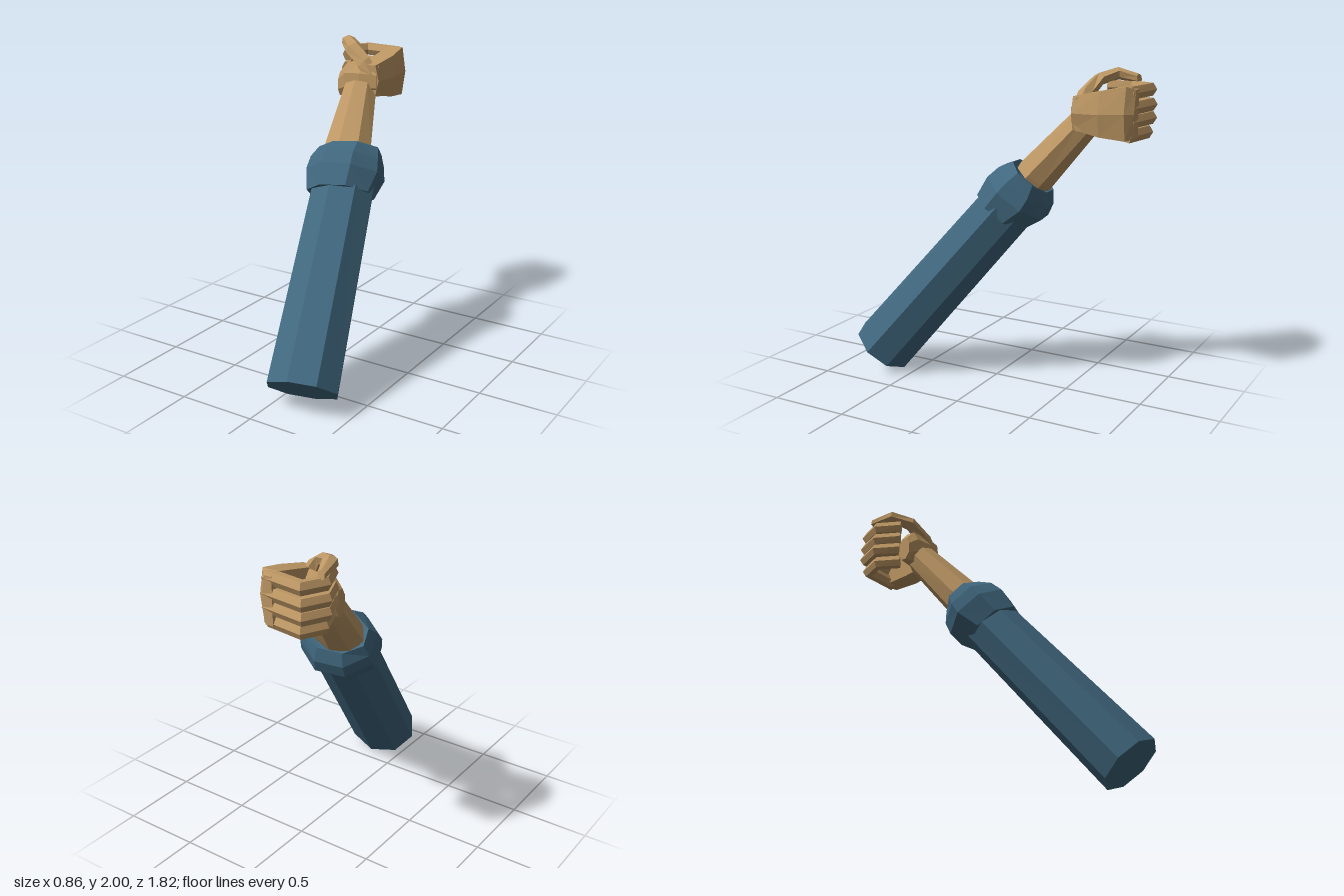
import * as THREE from 'three';

const sleeveBlue = new THREE.MeshStandardMaterial({ color: 0x41687f });
const skinTan = new THREE.MeshStandardMaterial({ color: 0xbd9764 });

// Elliptical ring: centre c, half axes a and b, n corners, starting at angle phase
function ring(c, a, b, n = 8, phase = 0) {
  return Array.from({ length: n }, (_, i) => {
    const t = phase + (i / n) * Math.PI * 2;
    return c.map((v, k) => v + a[k] * Math.cos(t) + b[k] * Math.sin(t));
  });
}

// Closed, faceted skin over a row of rings that share one corner count
function loft(name, rings, material) {
  const n = rings[0].length;
  const tris = [];
  for (let r = 0; r < rings.length - 1; r++) {
    for (let i = 0; i < n; i++) {
      const j = (i + 1) % n;
      const [a, b, c, d] = [rings[r][i], rings[r][j], rings[r + 1][j], rings[r + 1][i]];
      tris.push([a, b, c], [a, c, d]);
    }
  }
  const mid = (pts) => [0, 1, 2].map((k) => pts.reduce((s, p) => s + p[k], 0) / n);
  const first = rings[0], last = rings[rings.length - 1];
  const m0 = mid(first), m1 = mid(last);
  for (let i = 0; i < n; i++) {
    const j = (i + 1) % n;
    tris.push([m0, first[j], first[i]], [m1, last[i], last[j]]);
  }
  // Turn every face outward using the signed volume
  const volume = tris.reduce((s, [a, b, c]) => s
    + (a[0] - m0[0]) * ((b[1] - m0[1]) * (c[2] - m0[2]) - (b[2] - m0[2]) * (c[1] - m0[1]))
    + (a[1] - m0[1]) * ((b[2] - m0[2]) * (c[0] - m0[0]) - (b[0] - m0[0]) * (c[2] - m0[2]))
    + (a[2] - m0[2]) * ((b[0] - m0[0]) * (c[1] - m0[1]) - (b[1] - m0[1]) * (c[0] - m0[0])), 0);
  if (volume < 0) tris.forEach((t) => t.reverse());
  const geometry = new THREE.BufferGeometry();
  geometry.setAttribute('position', new THREE.Float32BufferAttribute(tris.flat(2), 3));
  geometry.computeVertexNormals();
  const mesh = new THREE.Mesh(geometry, material);
  mesh.name = name;
  return mesh;
}

export function createModel() {
  const model = new THREE.Group();
  model.name = 'raisedForearm';

  // Long tapering sleeve
  model.add(loft('sleeve', [
    ring([0.2, 0.132, 0.75], [0.23, 0.03, -0.027], [0, 0.128, 0.156]),
    ring([-0.043, 1.2, -0.12], [0.208, 0.027, -0.024], [0, 0.114, 0.139]),
  ], sleeveBlue));

  // Flared cuff with a rim that turns inward
  model.add(loft('cuff', [
    ring([-0.025, 1.1, -0.025], [0.215, 0.03, -0.03], [0, 0.11, 0.155], 8, 0.25),
    ring([-0.05, 1.2, -0.125], [0.252, 0.03, -0.03], [0, 0.133, 0.19], 8, 0.25),
    ring([-0.065, 1.27, -0.175], [0.24, 0.03, -0.03], [0, 0.125, 0.17], 8, 0.25),
    ring([-0.072, 1.335, -0.22], [0.212, 0.03, -0.03], [0, 0.095, 0.118], 8, 0.25),
    ring([-0.075, 1.32, -0.215], [0.17, 0.025, -0.025], [0, 0.078, 0.095], 8, 0.25),
  ], sleeveBlue));

  // Forearm narrowing to the wrist
  model.add(loft('forearm', [
    ring([-0.08, 1.24, -0.145], [0.165, 0.02, -0.02], [0, 0.08, 0.098]),
    ring([-0.1, 1.34, -0.23], [0.162, 0.02, -0.02], [0, 0.08, 0.098]),
    ring([-0.178, 1.68, -0.52], [0.112, 0.012, -0.012], [0, 0.065, 0.075]),
  ], skinTan));

  // Palm slab, slightly domed on the back of the hand
  const palmRing = (z, xi, xo, yb, yt) => [
    [xi, yb, z], [xo - 0.025, yb, z], [xo, (yb + yt) / 2, z], [xo - 0.025, yt, z], [xi, yt, z],
  ];
  model.add(loft('palm', [
    palmRing(-0.49, -0.16, -0.025, 1.645, 1.845),
    palmRing(-0.67, -0.15, 0, 1.615, 1.885),
    palmRing(-0.83, -0.145, -0.015, 1.6, 1.92),
    palmRing(-0.875, -0.135, -0.06, 1.615, 1.9),
  ], skinTan));

  // Heel of the hand, reaching across from the wrist
  model.add(loft('palmHeel', [
    ring([-0.04, 1.74, -0.54], [0, 0.11, 0], [0, 0, 0.06], 8, 0.39),
    ring([-0.16, 1.74, -0.545], [0, 0.125, 0], [0, 0, 0.085], 8, 0.39),
    ring([-0.28, 1.73, -0.545], [0, 0.12, 0], [0, 0, 0.07], 8, 0.39),
    ring([-0.345, 1.69, -0.545], [0, 0.085, 0], [0, 0, 0.045], 8, 0.39),
  ], skinTan));

  // Four curled fingers, each bend given as outer and inner x, z
  const bends = [
    [[-0.06, -0.875], [-0.12, -0.8]],
    [[-0.35, -0.91], [-0.31, -0.825]],
    [[-0.432, -0.74], [-0.355, -0.735]],
    [[-0.36, -0.575], [-0.295, -0.61]],
  ];
  const fingers = [
    ['indexFinger', 1.88, 0.98], ['middleFinger', 1.79, 1],
    ['ringFinger', 1.71, 1], ['littleFinger', 1.625, 0.93],
  ];
  for (const [name, y, s] of fingers) {
    const rings = bends.map(([o, i]) => {
      const place = ([x, z]) => [-0.08 + (x + 0.08) * s, y, -0.7 + (z + 0.7) * s];
      const p = place(o), q = place(i);
      return ring(p.map((v, k) => (v + q[k]) / 2), p.map((v, k) => (v - q[k]) / 2), [0, 0.044, 0], 6);
    });
    model.add(loft(name, rings, skinTan));
  }

  // Thumb arching over the opening of the fist
  model.add(loft('thumb', [
    ring([-0.1, 1.77, -0.52], [0.05, 0.03, 0], [0, 0, 0.05], 6),
    ring([-0.16, 1.85, -0.525], [0.035, 0.04, -0.01], [0.01, 0, 0.05], 6),
    ring([-0.26, 1.93, -0.565], [0.015, 0.04, -0.005], [-0.03, 0, 0.05], 6),
    ring([-0.355, 1.962, -0.65], [0.005, 0.038, 0], [-0.04, 0, 0.025], 6),
    ring([-0.385, 1.935, -0.775], [0, 0.028, 0.005], [-0.03, 0, -0.005], 6),
  ], skinTan));

  return model;
}
